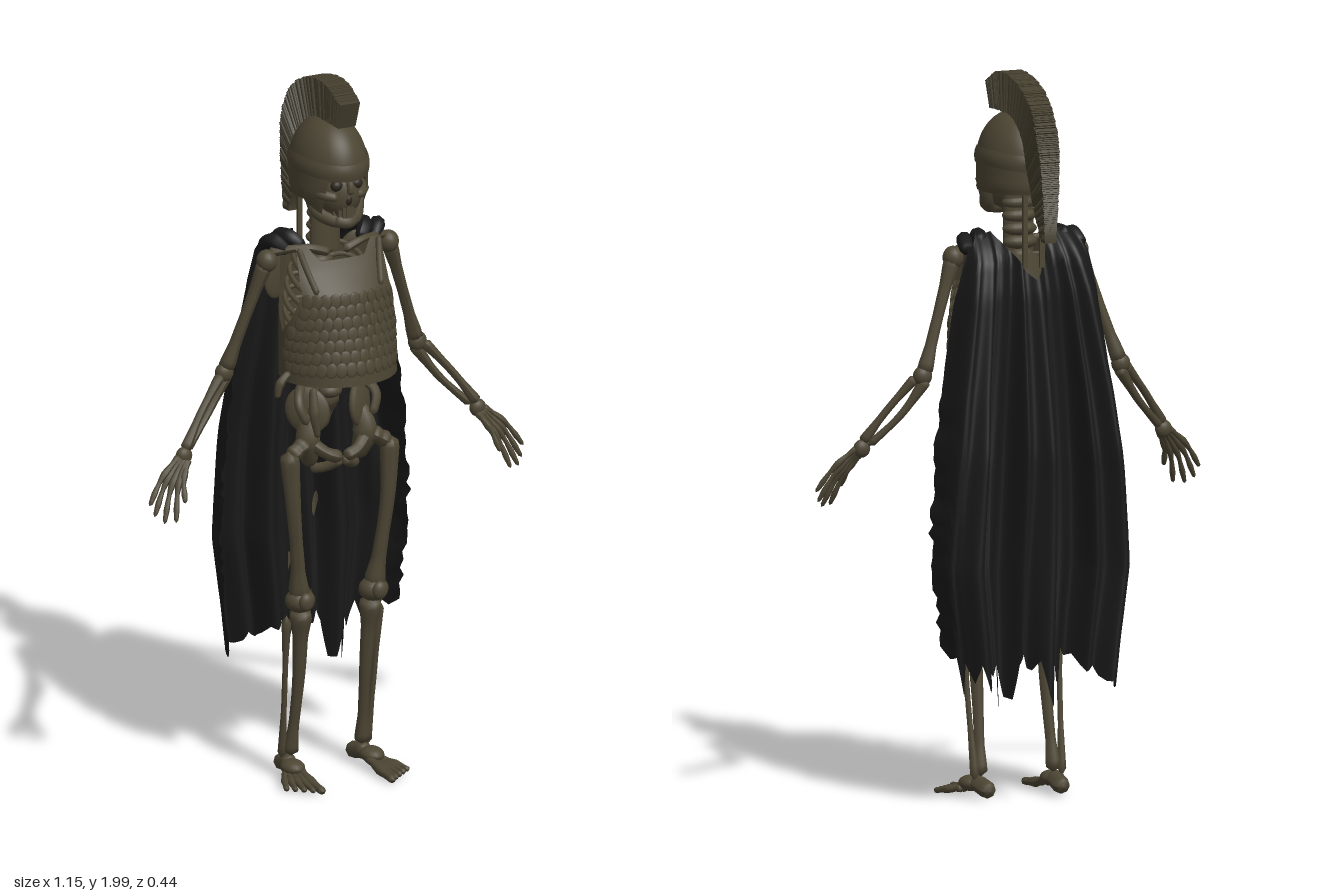
import * as THREE from 'three';

const mat = (name, color, side = THREE.FrontSide) => {
  const m = new THREE.MeshStandardMaterial({ color, side });
  m.name = name;
  return m;
};
const V = (x, y, z) => new THREE.Vector3(x, y, z);
const { lerp, clamp } = THREE.MathUtils;

// piecewise linear function through [t, value] pairs
const ramp = (pts) => (t) => {
  if (t <= pts[0][0]) return pts[0][1];
  for (let i = 1; i < pts.length; i++) {
    const [a, p] = pts[i - 1], [b, q] = pts[i];
    if (t <= b) return lerp(p, q, (t - a) / (b - a));
  }
  return pts[pts.length - 1][1];
};

// grid surface from fn(u, v) -> [x, y, z], outward side is du x dv
function surface(fn, nu, nv) {
  const g = new THREE.PlaneGeometry(1, 1, nu, nv), p = g.attributes.position;
  for (let i = 0; i < p.count; i++) p.setXYZ(i, ...fn(p.getX(i) + 0.5, p.getY(i) + 0.5));
  g.computeVertexNormals();
  return g;
}

// rounded tube through points, with radii spread evenly along it
function boneGeometry(pts, radii, seg = 20, sides = 8) {
  const c = new THREE.CatmullRomCurve3(pts.map((p) => V(...p)));
  const g = new THREE.TubeGeometry(c, seg, 1, sides), p = g.attributes.position;
  const len = c.getLength(), r = ramp(radii.map((q, i) => [i / Math.max(1, radii.length - 1), q]));
  for (let i = 0; i <= seg; i++) {
    const t = i / seg, o = c.getPointAt(t), d = Math.min(t, 1 - t) * len, rad = r(t);
    const cap = Math.sqrt(1 - (1 - Math.min(1, d / rad)) ** 2) * rad;
    for (let j = 0; j <= sides; j++) {
      const k = i * (sides + 1) + j, q = V(p.getX(k), p.getY(k), p.getZ(k)).sub(o).multiplyScalar(cap).add(o);
      p.setXYZ(k, q.x, q.y, q.z);
    }
  }
  g.computeVertexNormals();
  return g;
}

export function createModel() {
  const root = new THREE.Group();
  const bone = mat('bone', 0x4d4634), bronze = mat('bronze', 0x4c4533, THREE.DoubleSide);
  const cloth = mat('cloth', 0x19191a, THREE.DoubleSide), bristle = mat('bristle', 0x453f2e), hollow = mat('hollow', 0x2a261c);
  let seed = 7;
  const rnd = () => (seed = (seed * 16807) % 2147483647) / 2147483647;
  const add = (name, geo, m, pos = [0, 0, 0]) => {
    const mesh = new THREE.Mesh(geo, m);
    mesh.name = name;
    mesh.position.set(...pos);
    root.add(mesh);
    return mesh;
  };
  const ball = (name, pos, scale, m = bone) => {
    const b = add(name, new THREE.SphereGeometry(1, 18, 12), m, pos);
    b.scale.set(...scale);
    return b;
  };
  const tube = (name, s, pts, radii, m = bone, seg = 20) =>
    add(name, boneGeometry(pts.map(([x, y, z]) => [s * x, y, z]), radii, seg), m);

  // skull
  ball('cranium', [0, 1.755, 0.03], [0.085, 0.1, 0.11]);
  ball('face', [0, 1.69, 0.08], [0.066, 0.078, 0.068]);
  tube('chin', 1, [[-0.035, 1.618, 0.115], [0, 1.61, 0.132], [0.035, 1.618, 0.115]], [0.018]);
  tube('noseBridge', 1, [[0, 1.745, 0.14], [0, 1.715, 0.152], [0, 1.695, 0.152]], [0.009, 0.011]);
  ball('noseHollow', [0, 1.677, 0.138], [0.012, 0.016, 0.012], hollow);
  for (let i = -3; i <= 3; i++) for (const y of [1.649, 1.633])
    add('tooth', new THREE.BoxGeometry(0.01, 0.016, 0.012), bone, [i * 0.0105, y, 0.136 - i * i * 0.0025]);

  // spine and neck
  const spineZ = ramp([[1.0, 0], [1.12, 0.04], [1.25, 0], [1.4, -0.025], [1.55, -0.01], [1.68, 0]]);
  for (let y = 1.1; y < 1.69; y += 0.036) {
    const neck = y > 1.5, z = spineZ(y);
    ball('vertebra', [0, y, z], neck ? [0.05, 0.022, 0.03] : [0.034, 0.021, 0.028]);
    if (!neck) tube('spinousProcess', 1, [[0, y, z - 0.015], [0, y - 0.015, z - 0.045]], [0.008, 0.005], bone, 6);
  }
  add('neck', new THREE.CylinderGeometry(1, 1, 0.2, 16), bone, [0, 1.6, 0]).scale.set(0.045, 1, 0.027);
  tube('sacrum', 1, [[0, 1.11, 0.025], [0, 1.05, -0.01], [0, 0.98, -0.005]], [0.045, 0.038, 0.01]);

  for (const s of [-1, 1]) {
    // skull sides
    ball('eyeSocket', [s * 0.03, 1.718, 0.129], [0.018, 0.016, 0.014], hollow);
    tube('cheekbone', s, [[0.08, 1.7, 0.05], [0.062, 1.692, 0.11], [0.03, 1.685, 0.138]], [0.01, 0.015, 0.012]);
    tube('jaw', s, [[0.074, 1.71, 0.04], [0.064, 1.64, 0.07], [0.035, 1.616, 0.112], [0, 1.61, 0.13]], [0.015, 0.02, 0.016]);

    // rib cage and shoulder girdle
    for (let i = 0; i < 7; i++) {
      const y = 1.5 - i * 0.036, a = 0.085 + 0.045 * Math.sin(i * 0.35 + 0.3);
      tube('rib', s, [[0.02, y, -0.03], [a * 0.75, y - 0.005, -0.035], [a, y - 0.03, 0.03],
        [a * 0.8, y - 0.06, 0.09], [0.02, y - 0.055, 0.095 + i * 0.008]], [0.007, 0.008]);
    }
    tube('collarbone', s, [[0.02, 1.51, 0.07], [0.09, 1.53, 0.06], [0.18, 1.515, 0.01]], [0.014, 0.01, 0.015]);
    ball('shoulderBlade', [s * 0.125, 1.44, -0.045], [0.055, 0.08, 0.012]).rotation.y = -s * 0.4;

    // arm
    ball('shoulderJoint', [s * 0.187, 1.495, 0.018], [0.029, 0.032, 0.03]);
    tube('upperArm', s, [[0.187, 1.5, 0.018], [0.235, 1.36, 0], [0.295, 1.18, -0.024]], [0.026, 0.018, 0.016, 0.017, 0.026]);
    ball('elbow', [s * 0.297, 1.18, -0.022], [0.027, 0.028, 0.022]);
    tube('radius', s, [[0.31, 1.18, -0.014], [0.385, 1.09, 0.012], [0.452, 0.995, 0.04]], [0.016, 0.011, 0.011, 0.017]);
    tube('ulna', s, [[0.285, 1.175, -0.028], [0.355, 1.075, -0.008], [0.437, 0.99, 0.026]], [0.02, 0.012, 0.01, 0.012]);
    ball('wrist', [s * 0.452, 0.982, 0.037], [0.024, 0.025, 0.018]);
    [[0.575, 0.865, 0.07], [0.565, 0.835, 0.08], [0.545, 0.818, 0.1], [0.515, 0.82, 0.112], [0.485, 0.87, 0.108]].forEach(([x, y, z], i) => {
      const b = [0.466 - i * 0.006, 0.985 - i * 0.003, 0.038 + i * 0.002];
      tube('finger', s, [b, [lerp(b[0], x, 0.5) + 0.008, lerp(b[1], y, 0.45), lerp(b[2], z, 0.45)], [x, y, z]],
        [0.011, 0.007, 0.0105, 0.006, 0.0085, 0.005], bone, 24);
    });

    // pelvis: flared wing, hip socket and a ring round the opening
    const wing = ball('hipWing', [s * 0.08, 1.06, 0.052], [0.062, 0.068, 0.018]);
    wing.rotation.set(-0.15, s * 0.7, -s * 0.35);
    tube('hipCrest', s, [[0.03, 1.09, 0], [0.085, 1.125, 0.03], [0.118, 1.09, 0.075], [0.1, 1.03, 0.092]], [0.012, 0.014, 0.012]);
    tube('hipBody', s, [[0.075, 1.06, 0.045], [0.088, 0.985, 0.07], [0.072, 0.9, 0.05]], [0.024, 0.036, 0.02]);
    tube('pubicArch', s, [[0.085, 0.975, 0.08], [0.045, 0.945, 0.105], [0.004, 0.93, 0.11]], [0.02, 0.017, 0.02]);
    tube('sittingBone', s, [[0.004, 0.925, 0.108], [0.04, 0.9, 0.08], [0.07, 0.892, 0.048]], [0.016, 0.014, 0.016]);

    // leg
    tube('thighNeck', s, [[0.095, 0.98, 0.08], [0.155, 0.945, 0.09]], [0.032, 0.022, 0.028]);
    tube('thighBone', s, [[0.155, 0.965, 0.088], [0.145, 0.8, 0.095], [0.128, 0.65, 0.085], [0.114, 0.525, 0.07]],
      [0.03, 0.025, 0.021, 0.019, 0.021, 0.035], bone, 28);
    ball('knee', [s * 0.113, 0.525, 0.072], [0.042, 0.034, 0.04]);
    ball('kneecap', [s * 0.113, 0.53, 0.11], [0.022, 0.026, 0.015]);
    tube('shinBone', s, [[0.108, 0.505, 0.068], [0.103, 0.3, 0.045], [0.11, 0.06, 0.008]], [0.038, 0.022, 0.019, 0.016, 0.015, 0.024], bone, 28);
    tube('calfBone', s, [[0.143, 0.48, 0.05], [0.138, 0.28, 0.03], [0.13, 0.05, -0.002]], [0.015, 0.008, 0.008, 0.014]);

    // foot
    tube('heel', s, [[0.118, 0.048, 0.03], [0.112, 0.035, -0.02], [0.11, 0.026, -0.06]], [0.024, 0.024, 0.025]);
    ball('instep', [s * 0.122, 0.04, 0.045], [0.033, 0.022, 0.04]);
    for (let i = 0; i < 5; i++)
      tube('toe', s, [[0.105 + i * 0.01, 0.038 - i * 0.003, 0.045], [0.108 + i * 0.015, 0.02, 0.115 - i * 0.007], [0.108 + i * 0.02, 0.011, 0.202 - i * 0.016]],
        i ? [0.012, 0.008, 0.011, 0.008, 0.008] : [0.016, 0.011, 0.015, 0.011, 0.011]);

    // cloth gathered on the shoulders
    tube('capeShoulderFold', s, [[0.085, 1.525, 0.045], [0.115, 1.55, 0.015], [0.13, 1.545, -0.045]], [0.016, 0.024, 0.02], cloth);
    tube('capeShoulderFold', s, [[0.13, 1.515, 0.04], [0.16, 1.545, 0.005], [0.17, 1.515, -0.045]], [0.014, 0.022, 0.02], cloth);
    add('helmetStrap', new THREE.BoxGeometry(0.014, 0.22, 0.008), bronze, [s * 0.025, 1.58, -0.1]);
  }

  // cuirass plates
  const frontZ = ramp([[1.17, 0.22], [1.22, 0.215], [1.3, 0.195], [1.4, 0.176], [1.48, 0.12], [1.54, 0.085]]);
  const backZ = ramp([[1.17, -0.06], [1.4, -0.055], [1.52, -0.04]]);
  const reach = ramp([[1.17, 1.572], [1.31, 1.572], [1.35, 1.25], [1.42, 0.95], [1.54, 0.9]]);
  const plate = (th, y, out = 0) => [(0.165 + out) * Math.sin(th), y, 0.07 + (frontZ(y) - 0.07 + out) * Math.cos(th)];
  add('breastplate', surface((u, v) => {
    const w = u * 2 - 1, y = lerp(1.17, 1.5 + 0.04 * clamp((Math.abs(w) - 0.45) * 4, 0, 1), v);
    return plate(w * reach(y), y);
  }, 48, 30), bronze);
  add('backplate', surface((u, v) => {
    const w = 1 - u * 2, y = lerp(1.17, 1.5, v), th = w * Math.max(1.05, reach(y));
    return [0.165 * Math.sin(th), y, 0.07 - (0.07 - backZ(y)) * Math.cos(th)];
  }, 36, 20), bronze);
  add('cuirassRim', surface((u, v) => plate((u * 2 - 1) * 1.572, 1.168 + 0.022 * v, 0.004), 40, 2), bronze);
  const scaleGeo = new THREE.SphereGeometry(1, 8, 6);
  for (let r = 0; r < 7; r++) for (let i = -9; i <= 9; i++) {
    const y = 1.215 + r * 0.031, th = (i + (r % 2) / 2) * 0.172;
    if (Math.abs(th) > reach(y + 0.02) - 0.03) continue;
    const sc = add('armorScale', scaleGeo, bronze, plate(th, y, 0.001));
    sc.scale.set(0.018, 0.022, 0.004);
    sc.rotation.set(-0.16, th, 0, 'YXZ');
  }
  for (const s of [-1, 1])
    tube('cuirassStrap', s, [1.42, 1.46, 1.5, 1.54].map((y, i) => plate(0.62 + 0.07 * i, y, 0.002)), [0.009], bronze);
  tube('hangingStrap', -1, [[0.13, 1.17, 0.18], [0.135, 1.1, 0.198], [0.125, 1.03, 0.2]], [0.01, 0.016, 0.008], bronze);
  tube('sideStrap', -1, [[0.165, 1.2, 0.11], [0.195, 1.17, 0.112], [0.205, 1.13, 0.112]], [0.01, 0.013, 0.008], bronze);

  // helmet bowl with cheek guards
  const rimY = ramp([[0, 1.745], [0.6, 1.74], [0.75, 1.66], [0.85, 1.615], [1.1, 1.625], [1.35, 1.675], [3.15, 1.67]]);
  const bowl = (th, y, k = 1) => {
    const r = k * (y > 1.75 ? Math.sqrt(Math.max(0, 1 - ((y - 1.75) / 0.14) ** 2)) : 1 - Math.max(0, 1.69 - y) * 2.6);
    return [0.1 * r * Math.sin(th), y, 0.022 + 0.134 * r * Math.cos(th)];
  };
  add('helmetBowl', surface((u, v) => {
    const th = (u * 2 - 1) * Math.PI, lo = rimY(Math.abs(th));
    return bowl(th, lerp(lo, 1.89, Math.sin(v * Math.PI / 2)));
  }, 96, 28), bronze);
  add('helmetBand', surface((u, v) => {
    const th = (u * 2 - 1) * Math.PI, y = 1.735 + 0.012 * Math.sin(th) ** 2 + 0.045 * v;
    return bowl(th, y, 1.025 + 0.025 * Math.sin(v * Math.PI));
  }, 64, 6), bronze);
  add('helmetLowerEdge', surface((u, v) => bowl(Math.PI + (u * 2 - 1) * 1.85, 1.672 + 0.014 * v, 1.05), 40, 2), bronze);

  // crest of overlapping bristle slices
  const spline = (pts) => new THREE.CatmullRomCurve3(pts.map(([z, y]) => V(0, y, z)));
  const inner = spline([[0.125, 1.885], [0.05, 1.885], [-0.03, 1.87], [-0.085, 1.82], [-0.115, 1.75], [-0.15, 1.63], [-0.182, 1.56]]);
  const outer = spline([[0.145, 1.957], [0.06, 1.992], [-0.06, 1.975], [-0.145, 1.92], [-0.193, 1.83], [-0.21, 1.72], [-0.212, 1.56]]);
  for (let i = 0; i < 130; i++) {
    const t = i / 129, a = inner.getPointAt(t), b = outer.getPointAt(t), d = b.clone().sub(a), len = d.length();
    const w = lerp(0.064, 0.034, clamp((t - 0.6) / 0.4, 0, 1)) * (0.94 + 0.1 * rnd());
    const m = add('crestBristles', new THREE.CylinderGeometry(0.5, 0.45, len * (0.97 + 0.07 * rnd()), 4, 1).rotateY(Math.PI / 4),
      bristle, a.add(b).multiplyScalar(0.5).toArray());
    m.scale.set(w * 1.414, 1, 0.02);
    m.rotation.x = Math.atan2(d.z, d.y);
  }

  // tattered cape with deep folds, width and depth by height
  const width = ramp([[0.28, 0.255], [0.45, 0.275], [0.65, 0.305], [0.9, 0.287], [1.13, 0.26], [1.4, 0.213], [1.57, 0.17]]);
  const depth = ramp([[0.3, 0.142], [0.95, 0.136], [1.4, 0.107], [1.5, 0.085], [1.54, 0.05], [1.57, 0.01]]);
  const tears = Array.from({ length: 45 }, () => rnd());
  const capePoint = (u, v) => {
    const a = Math.abs(u), k = (u + 1) * 22, i = Math.min(43, Math.floor(k));
    const top = 1.44 + 0.125 * clamp(a / 0.5, 0, 1) - 0.06 * clamp((a - 0.8) / 0.2, 0, 1);
    const hem = 0.25 + 0.17 * lerp(tears[i], tears[i + 1], k - i) + 0.12 * clamp((a - 0.85) / 0.15, 0, 1);
    const y = lerp(top, hem, v), amp = lerp(0.012, 0.068, clamp((1.56 - y) * 1.7, 0, 1));
    const ph = u * 8.5 + 0.4 * v * Math.sin(u * 3);
    const fold = 0.72 * Math.cos(ph) + 0.28 * Math.cos(u * 27 + 1 + 0.9 * Math.sin(v * 4 + u));
    const ragged = 1 - 0.1 * a ** 14 * tears[Math.floor(v * 44)] * v;
    return [width(y) * ragged * (u + 0.02 * Math.sin(ph * 2)), y,
      -depth(y) - amp * fold + 0.05 * clamp((a - 0.8) / 0.2, 0, 1) * clamp((1.57 - y) * 5, 0, 1)];
  };
  add('cape', surface((u, v) => capePoint(1 - u * 2, 1 - v), 176, 48), cloth);
  // faded patches on the inner face
  for (const [u, v, r] of [[-0.05, 0.78, 0.03], [0.15, 0.7, 0.025], [0.08, 0.93, 0.025]])
    add('capePatch', surface((p, q) => {
      const c = capePoint(u + r * 1.6 * q * Math.cos(p * 6.2832), v + r * q * Math.sin(p * 6.2832));
      return [c[0], c[1], c[2] + 0.006];
    }, 16, 3), bronze);
  return root;
}
